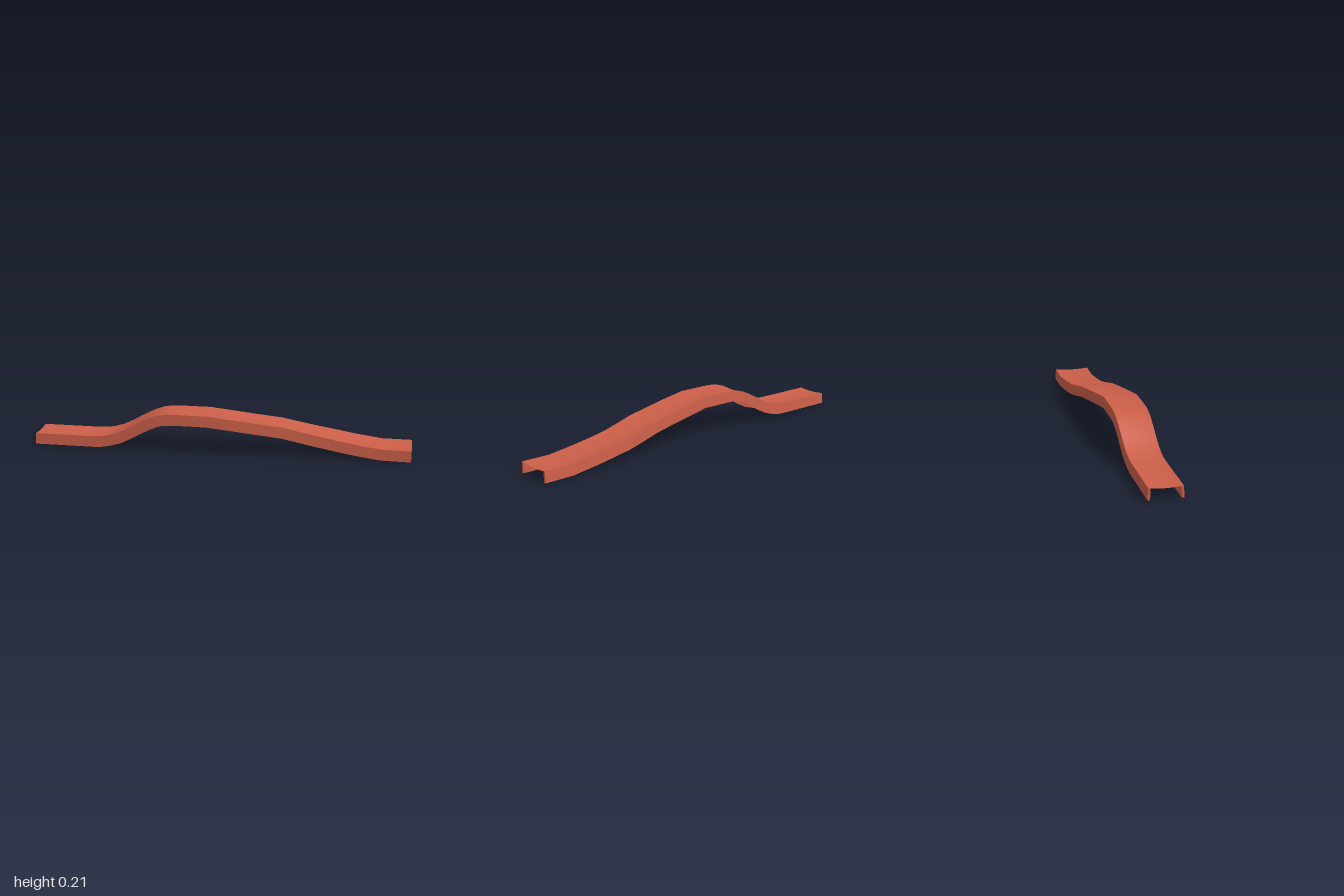
import * as THREE from 'three';

const material = new THREE.MeshStandardMaterial({ color: 0xcc5f49, side: THREE.DoubleSide });

// Path stations: x, top edge height, centre z, half width at the top edge
const stations = [
  [-0.996, 0.067, -0.014, 0.083], [-0.84, 0.067, -0.008, 0.083], [-0.68, 0.067, -0.002, 0.084],
  [-0.64, 0.069, -0.001, 0.084], [-0.6, 0.076, 0.001, 0.084], [-0.55, 0.091, 0.003, 0.085],
  [-0.5, 0.116, 0.005, 0.085], [-0.45, 0.144, 0.007, 0.086], [-0.4, 0.171, 0.009, 0.086],
  [-0.36, 0.189, 0.011, 0.087], [-0.32, 0.202, 0.012, 0.087], [-0.28, 0.208, 0.014, 0.088],
  [-0.24, 0.21, 0.015, 0.088], [-0.07, 0.21, 0.022, 0.089], [0.06, 0.193, 0.014, 0.09],
  [0.19, 0.175, 0.005, 0.09], [0.32, 0.157, -0.008, 0.091], [0.41, 0.136, -0.015, 0.091],
  [0.5, 0.116, -0.02, 0.092], [0.6, 0.098, -0.018, 0.093], [0.7, 0.081, -0.013, 0.094],
  [0.84, 0.062, -0.008, 0.095], [0.996, 0.061, -0.002, 0.097],
];
const DEPTH = 0.058, WALL = 0.013, SPLAY = 0.004, SAG = 0.006;

// Side and up directions at each station
const frames = stations.map(([x, y, z, half], i) => {
  const a = stations[Math.max(i - 1, 0)], b = stations[Math.min(i + 1, stations.length - 1)];
  const t = new THREE.Vector3(b[0] - a[0], b[1] - a[1], b[2] - a[2]).normalize();
  const side = new THREE.Vector3(-t.z, 0, t.x).normalize();
  const up = new THREE.Vector3().crossVectors(side, t).normalize();
  return { centre: new THREE.Vector3(x, y, z), side, up, half };
});

// Sweeps a line of [across, upward] points along the path
function strip(name, line) {
  const pos = [], index = [];
  const n = line(frames[0].half).length;
  frames.forEach((f, i) => {
    line(f.half).forEach(([s, u], j) => {
      const p = f.centre.clone().addScaledVector(f.side, s).addScaledVector(f.up, u);
      pos.push(p.x, p.y, p.z);
      if (i && j) {
        const d = i * n + j, c = d - 1, b = d - n, a = b - 1;
        index.push(a, c, b, b, c, d);
      }
    });
  });
  return build(name, pos, index);
}

function build(name, pos, index) {
  const geo = new THREE.BufferGeometry();
  geo.setAttribute('position', new THREE.Float32BufferAttribute(pos, 3));
  geo.setIndex(index);
  geo.computeVertexNormals();
  const mesh = new THREE.Mesh(geo, material);
  mesh.name = name;
  return mesh;
}

// Wall section corners, running outer top, outer bottom, inner bottom, inner top
const wallCorners = (half, sign) => [
  [sign * half, 0],
  [sign * (half + SPLAY), -DEPTH],
  [sign * (half + SPLAY - WALL), -DEPTH],
  [sign * (half - WALL + 0.002), -0.003],
];

function sideWall(name, sign) {
  const wall = new THREE.Group();
  wall.name = name;
  // Each face has its own vertices so the long edges stay sharp
  ['outerFace', 'bottomEdge', 'innerFace'].forEach((face, k) => {
    wall.add(strip(face, (half) => {
      const c = wallCorners(half, sign).slice(k, k + 2);
      return sign > 0 ? c.reverse() : c;
    }));
  });
  // Closed ends
  [0, frames.length - 1].forEach((i) => {
    const f = frames[i];
    const pos = wallCorners(f.half, sign).flatMap(([s, u]) =>
      f.centre.clone().addScaledVector(f.side, s).addScaledVector(f.up, u).toArray());
    const flip = (i === 0) === (sign > 0);
    wall.add(build('endCap', pos, flip ? [0, 1, 2, 0, 2, 3] : [0, 2, 1, 0, 3, 2]));
  });
  return wall;
}

export function createModel() {
  const model = new THREE.Group();
  model.name = 'slideChannel';

  // Thin, slightly dished deck
  model.add(strip('deck', (half) => {
    const line = [];
    for (let k = 0; k <= 8; k++) {
      const s = k / 4 - 1;
      line.push([s * half, -SAG * (1 - s * s)]);
    }
    return line;
  }));

  // Walls hanging below both long edges
  model.add(sideWall('leftWall', 1), sideWall('rightWall', -1));
  return model;
}
